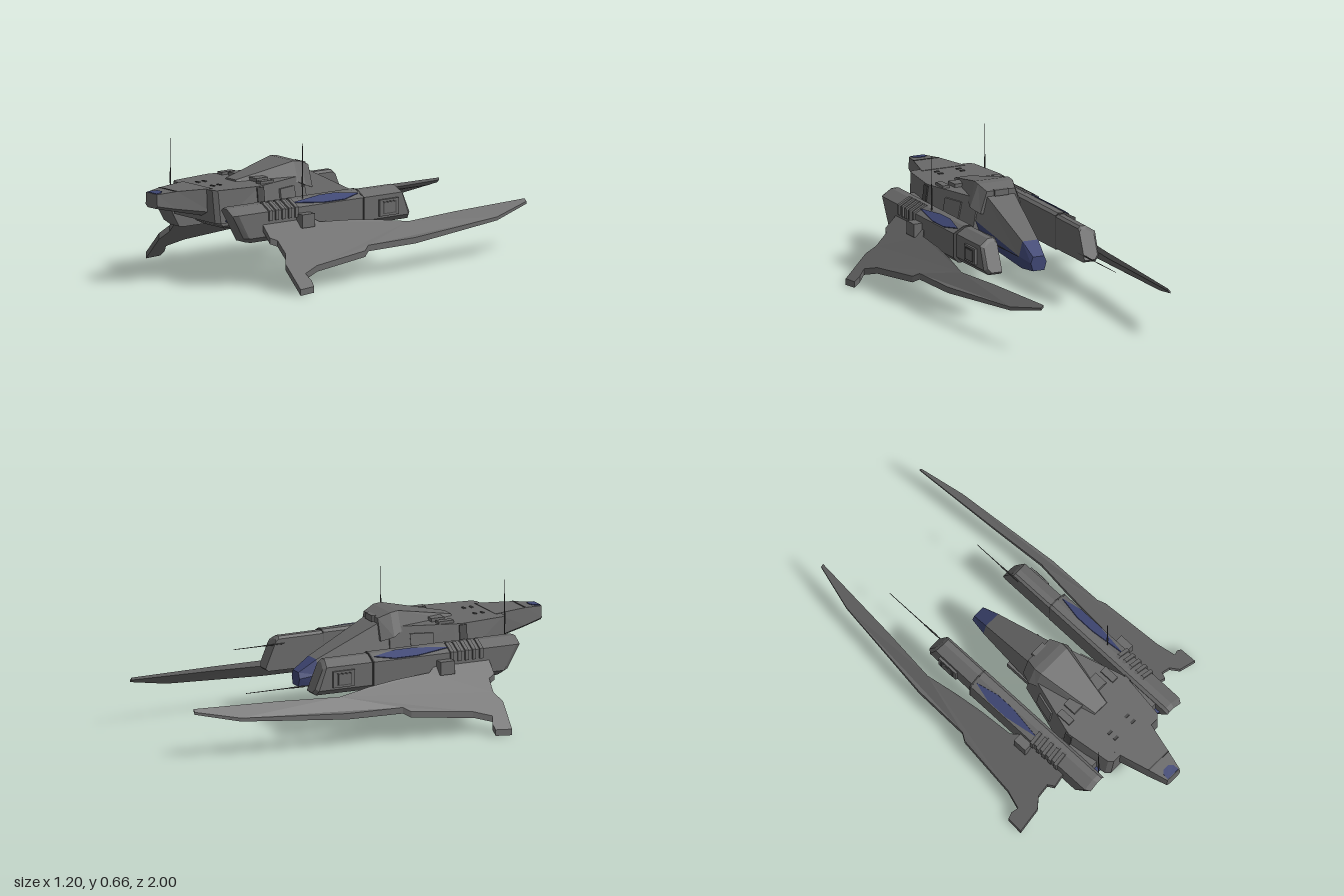
import * as THREE from 'three';

const mat = (name, color) => Object.assign(new THREE.MeshStandardMaterial({ color, flatShading: true }), { name });

// Skin convex rings of [x, y, z] points, with both ends capped
function loft(rings) {
  const v = [], tri = (...p) => p.forEach(q => v.push(...q));
  for (let r = 0; r + 1 < rings.length; r++) {
    const a = rings[r], b = rings[r + 1], n = a.length;
    for (let i = 0; i < n; i++) {
      const j = (i + 1) % n;
      tri(a[i], a[j], b[j]);
      tri(a[i], b[j], b[i]);
    }
  }
  const first = rings[0], last = rings[rings.length - 1];
  for (let i = 1; i + 1 < first.length; i++) {
    tri(first[0], first[i + 1], first[i]);
    tri(last[0], last[i], last[i + 1]);
  }
  const g = new THREE.BufferGeometry();
  g.setAttribute('position', new THREE.Float32BufferAttribute(v, 3));
  g.computeVertexNormals();
  return g;
}
// Half outlines mirrored into a ring: upright section at z, or plan at y
const section = (z, half) => [...half.map(([x, y]) => [x, y, z]), ...[...half].reverse().map(([x, y]) => [-x, y, z])];
const plan = (y, half) => [...half.map(([x, z]) => [x, y, z]), ...[...half].reverse().map(([x, z]) => [-x, y, z])];
// Thin plate: an outline pushed out along an offset
const slab = (pts, [ox, oy, oz]) => loft([pts, pts.map(([x, y, z]) => [x + ox, y + oy, z + oz])]);
const box = (w, h, d, x, y, z) => new THREE.BoxGeometry(w, h, d).translate(x, y, z);

function mirrored(geo) {
  const g = geo.index ? geo.toNonIndexed() : geo.clone();
  g.scale(-1, 1, 1);
  const p = g.attributes.position, a = new THREE.Vector3(), b = new THREE.Vector3();
  for (let i = 0; i < p.count; i += 3) {
    a.fromBufferAttribute(p, i + 1);
    b.fromBufferAttribute(p, i + 2);
    p.setXYZ(i + 1, b.x, b.y, b.z);
    p.setXYZ(i + 2, a.x, a.y, a.z);
  }
  g.computeVertexNormals();
  return g;
}

export function createModel() {
  const grey = mat('hullGrey', 0x686868), dark = mat('darkGrey', 0x484848), blue = mat('paintBlue', 0x3e4673);
  const model = new THREE.Group();
  model.name = 'spacecraft';
  const add = (name, geo, m = grey) => {
    const mesh = new THREE.Mesh(geo, m);
    mesh.name = name;
    model.add(mesh);
  };
  const pair = (name, geo, m) => {
    add(name + 'Left', geo, m);
    add(name + 'Right', mirrored(geo), m);
  };

  // Main hull, flaring downward
  add('hull', loft([
    plan(0.285, [[0.16, 0.74], [0.18, 0.72], [0.22, 0.5], [0.22, 0.46], [0.13, 0.15]]),
    plan(0.445, [[0.15, 0.75], [0.17, 0.73], [0.2, 0.5], [0.19, 0.46], [0.1, 0.16]]),
  ]));
  add('belly', loft([
    plan(0.235, [[0.075, 0.62], [0.075, 0.0]]),
    plan(0.252, [[0.105, 0.65], [0.105, 0.0]]),
    plan(0.29, [[0.105, 0.68], [0.105, 0.0]]),
  ]));

  // Beak with painted tip
  add('beak', loft([
    section(0.72, [[0.06, 0.305], [0.11, 0.33], [0.115, 0.447]]),
    section(0.9, [[0.045, 0.345], [0.07, 0.36], [0.068, 0.446]]),
    section(1, [[0.03, 0.368], [0.045, 0.38], [0.042, 0.438]]),
  ]));
  add('beakSeam', slab(plan(0.445, [[0.068, 0.904], [0.068, 0.898]]), [0, 0.003, 0]), dark);
  add('beakPaint', slab([[-0.036, 0.4385, 0.998], [0.036, 0.4385, 0.998], [0.034, 0.441, 0.968],
    [0.016, 0.443, 0.95], [-0.016, 0.443, 0.95], [-0.034, 0.441, 0.968]], [0, 0.003, 0]), blue);

  // Raised ridge and sloping cockpit
  add('ridge', loft([
    section(0.11, [[0.11, 0.38], [0.075, 0.487]]),
    section(0.17, [[0.135, 0.4], [0.092, 0.512]]),
    section(0.21, [[0.125, 0.42], [0.09, 0.517]]),
    section(0.52, [[0.05, 0.43], [0.038, 0.453]]),
  ]));
  add('cockpit', loft([
    section(-0.2, [[0.06, 0.24], [0.042, 0.312]]),
    section(0.16, [[0.115, 0.34], [0.078, 0.485]]),
  ]));
  add('cockpitLowerPaint', loft([
    section(-0.2, [[0.045, 0.18], [0.06, 0.24]]),
    section(0.16, [[0.08, 0.236], [0.115, 0.34]]),
  ]), blue);
  add('nosePaint', loft([
    section(-0.29, [[0.03, 0.185], [0.042, 0.225], [0.03, 0.255]]),
    section(-0.2, [[0.045, 0.18], [0.06, 0.24], [0.042, 0.312]]),
  ]), blue);
  add('cockpitHatch', box(0.075, 0.03, 0.055, 0, 0.477, 0.125));

  // Deck plates, vents and hull side panels
  pair('deckPlate', box(0.07, 0.03, 0.07, 0.075, 0.447, 0.415));
  pair('deckBlock', box(0.035, 0.018, 0.08, 0.15, 0.449, 0.43));
  for (const z of [0.635, 0.675]) pair('deckVent', box(0.025, 0.006, 0.012, 0.058, 0.446, z), dark);
  pair('hullRib', slab([[0.222, 0.29, 0.48], [0.218, 0.29, 0.52], [0.199, 0.44, 0.52], [0.2, 0.44, 0.48]].reverse(),
    [0.006, 0, 0]), dark);
  pair('sidePanel', slab([[0.182, 0.33, 0.36], [0.153, 0.33, 0.25], [0.137, 0.41, 0.25], [0.167, 0.41, 0.36]],
    [0.008, 0, -0.003]));

  // Nacelles: chamfered section, raked at both ends
  const outline = [[0.22, 0.2], [0.3, 0.2], [0.325, 0.225], [0.325, 0.345], [0.27, 0.376], [0.235, 0.377], [0.22, 0.365]];
  const ring = (sx, sy, zOf) => outline.map(([x, y]) => [0.22 + (x - 0.22) * sx, 0.285 + (y - 0.285) * sy, zOf(y)]);
  pair('nacelleRear', loft([
    ring(0.7, 0.78, y => -0.34 + (y - 0.2) * 0.33),
    ring(0.83, 0.93, y => -0.325 + (y - 0.2) * 0.33),
    ring(0.86, 0.94, () => -0.02),
  ]));
  const rake = y => 0.75 - Math.max(0, 0.29 - y);
  pair('nacelleFront', loft([
    ring(1, 1, () => -0.03),
    ring(1, 1, y => rake(y) - 0.025),
    ring(0.85, 0.95, rake),
  ]));
  pair('nacelleSeam', loft([ring(1.01, 1.01, () => -0.036), ring(1.01, 1.01, () => -0.028)]), dark);
  pair('nacellePaint', slab([[0.295, 0.362, 0.38], [0.32, 0.348, 0.2], [0.32, 0.348, 0.08],
    [0.295, 0.362, -0.02], [0.272, 0.375, 0.1], [0.272, 0.375, 0.2]], [0.002, 0.004, 0]), blue);
  pair('rearPod', box(0.025, 0.08, 0.115, 0.308, 0.28, -0.19));
  pair('rearPodFrame', box(0.004, 0.06, 0.08, 0.322, 0.28, -0.19), dark);
  pair('rearPodPlate', box(0.004, 0.05, 0.065, 0.324, 0.28, -0.19));
  pair('nacelleStrut', box(0.06, 0.08, 0.2, 0.2, 0.32, 0.57));
  pair('strutPaint', box(0.05, 0.008, 0.19, 0.2, 0.295, 0.6), blue);

  // Cooling ribs wrapping the outer shoulder
  for (let i = 0; i < 5; i++) {
    const z = 0.38 + i * 0.039;
    const arc = [[0.25, 0.372], [0.272, 0.384], [0.334, 0.35], [0.334, 0.3], [0.32, 0.3], [0.315, 0.34]];
    const at = d => arc.map(([x, y]) => [x, y, z + d]).reverse();
    pair('coolingRib', loft([at(-0.009), at(0.009)]));
  }
  pair('wingRootBlock', box(0.05, 0.065, 0.075, 0.345, 0.283, 0.337));

  // Swept wings, drooping at 45 degrees and thinning into long blades
  const wingPlan = [[0.6, 0.565], [0.595, 0.48], [0.57, 0.475], [0.54, 0.49], [0.515, 0.4], [0.485, 0.085],
    [0.465, 0.05], [0.46, -0.24], [0.4, -0.78], [0.345, -1], [0.332, -1], [0.365, -0.55], [0.392, -0.25],
    [0.37, -0.08], [0.355, 0.07], [0.345, 0.25], [0.315, 0.3], [0.315, 0.58], [0.38, 0.58], [0.395, 0.545],
    [0.45, 0.54], [0.49, 0.572]];
  const wing = new THREE.ExtrudeGeometry(new THREE.Shape(wingPlan.map(p => new THREE.Vector2(...p))),
    { depth: 0.03, bevelEnabled: false });
  const p = wing.attributes.position;
  for (let i = 0; i < p.count; i++) {
    const x = p.getX(i), z = p.getY(i), t = Math.min(1, Math.max(0, (-z - 0.2) / 0.8));
    p.setXYZ(i, x, 0.61 - x - 0.05 * t - p.getZ(i) * (1 - 0.6 * t), z);
  }
  wing.computeVertexNormals();
  pair('wing', wing);

  // Antennas: slim rods with a thicker sleeve
  const antenna = (name, len, x, y, z, back) => {
    const rod = new THREE.CylinderGeometry(0.0015, 0.003, len, 6).translate(0, len / 2, 0);
    const sleeve = new THREE.CylinderGeometry(0.0035, 0.0045, len * 0.2, 6).translate(0, len * 0.32, 0);
    for (const [part, g] of [['Rod', rod], ['Sleeve', sleeve]]) {
      if (back) g.rotateX(-Math.PI / 2);
      add(name + part, g.translate(x, y, z), dark);
    }
  };
  antenna('uprightAntennaRight', 0.28, -0.219, 0.36, 0.715, false);
  antenna('uprightAntennaLeft', 0.27, 0.274, 0.37, 0.3, false);
  antenna('rearAntennaRight', 0.4, -0.222, 0.24, -0.265, true);
  antenna('rearAntennaLeft', 0.27, 0.22, 0.335, -0.24, true);
  return model;
}
